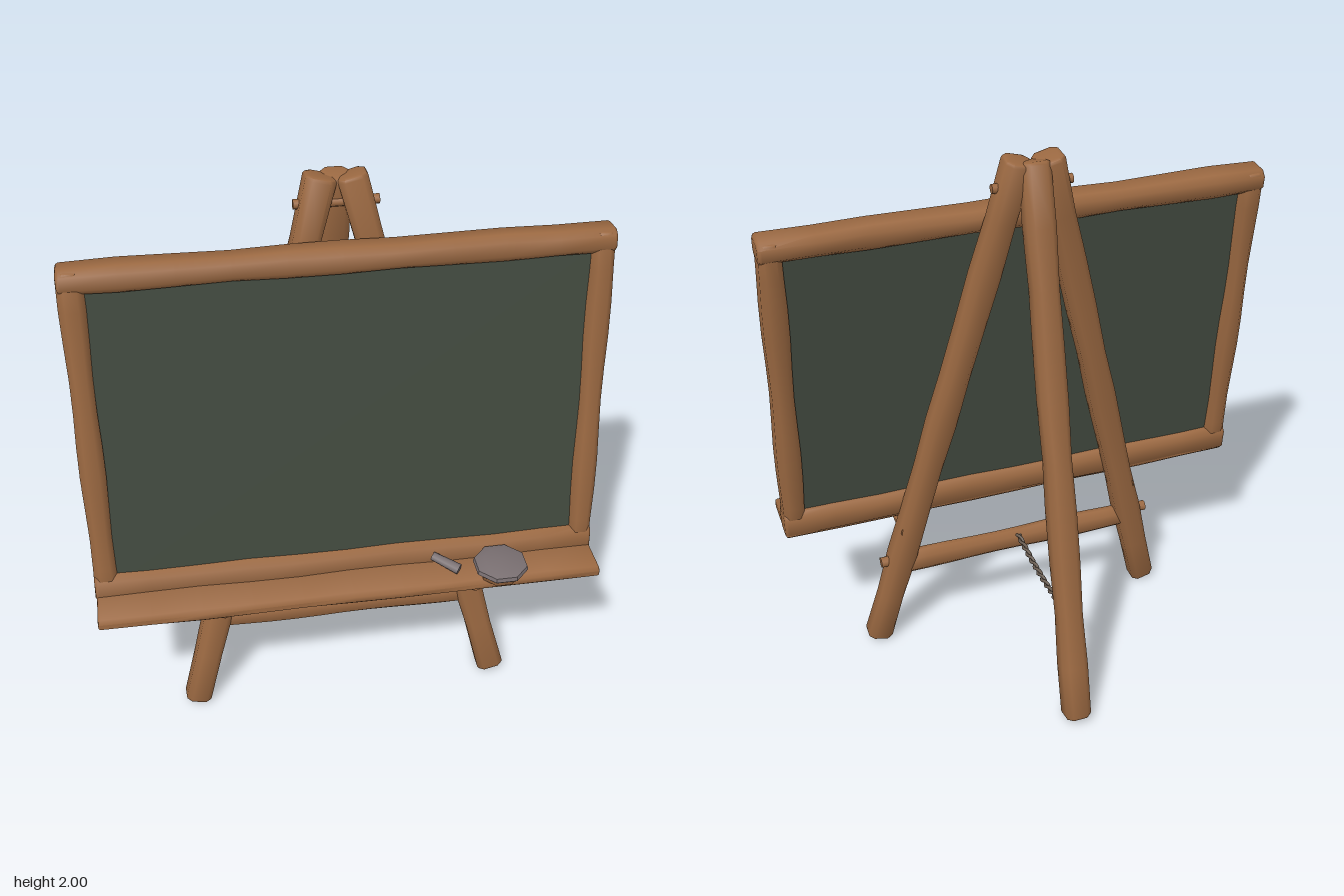
import * as THREE from 'three';
import { toCreasedNormals } from 'three/addons/utils/BufferGeometryUtils.js';

const mat = (name, color) => {
  const m = new THREE.MeshStandardMaterial({ color });
  m.name = name;
  return m;
};
const V = (x, y, z) => new THREE.Vector3(x, y, z);

export function createModel() {
  const wood = mat('wood', 0x9a6841);
  const slate = mat('slate', 0x424a3f);
  const stone = mat('grey stone', 0x786e70);
  const cord = mat('cord', 0x6a5d52);

  const root = new THREE.Group();
  root.name = 'easel';

  const add = (parent, name, geo, material) => {
    const mesh = new THREE.Mesh(geo, material);
    mesh.name = name;
    parent.add(mesh);
    return mesh;
  };

  // Hand-hewn timber between two points: chamfered section, slightly wavy.
  // depth is measured towards ref, width across it.
  const beam = (parent, name, a, b, width, depth, ref = V(0, 0, 1), c = 0.02, wave = 0.003) => {
    const w = width / 2, d = depth / 2, bevel = c * 0.6;
    const shape = new THREE.Shape([
      [w - c, -d], [w, c - d], [w, d - c], [w - c, d],
      [c - w, d], [-w, d - c], [-w, c - d], [c - w, -d],
    ].map(([x, y]) => new THREE.Vector2(x, y)));
    const dir = b.clone().sub(a);
    const len = dir.length();
    let geo = new THREE.ExtrudeGeometry(shape, {
      depth: len - 2 * bevel, steps: 10, bevelEnabled: true, bevelSegments: 2,
      bevelSize: bevel, bevelThickness: bevel, bevelOffset: -bevel,
    });
    geo.translate(0, 0, bevel);
    const p = geo.attributes.position;
    const phase = a.x * 5 + a.y * 3;
    for (let i = 0; i < p.count; i++) {
      const z = p.getZ(i);
      p.setX(i, p.getX(i) * (1 + (wave / w) * Math.sin(z * 11 + phase)));
      p.setY(i, p.getY(i) * (1 + (wave / d) * Math.sin(z * 8 + phase + 1)));
    }
    geo = toCreasedNormals(geo, 0.9);
    const zA = dir.normalize();
    const xA = ref.clone().cross(zA).normalize();
    const yA = zA.clone().cross(xA);
    geo.applyMatrix4(new THREE.Matrix4().makeBasis(xA, yA, zA).setPosition(a));
    return add(parent, name, geo, wood);
  };

  // Round wooden pin between two points
  const pin = (name, a, b, r) => {
    const dir = b.clone().sub(a);
    const mesh = add(root, name, new THREE.CylinderGeometry(r, r, dir.length(), 10), wood);
    mesh.position.copy(a).add(b).multiplyScalar(0.5);
    mesh.quaternion.setFromUnitVectors(V(0, 1, 0), dir.normalize());
  };

  // Legs and their pegs
  for (const s of [1, -1]) {
    beam(root, 'frontLeg', V(s * 0.56, 0.012, 0.25), V(s * 0.048, 1.99, 0.012), 0.096, 0.092);
    pin('ledgePeg', V(s * 0.445, 0.543, 0.15), V(s * 0.445, 0.543, 0.38), 0.023);
    pin('crossbarPin', V(s * 0.42, 0.385, 0.205), V(s * 0.54, 0.385, 0.205), 0.02);
  }
  beam(root, 'backLeg', V(0, 0.02, -0.445), V(0, 1.985, 0.0), 0.094, 0.092);
  pin('topPin', V(-0.137, 1.9, 0.02), V(0.137, 1.9, 0.02), 0.016);
  beam(root, 'crossbar', V(-0.47, 0.367, 0.205), V(0.47, 0.367, 0.205), 0.088, 0.06);

  // Leaning blackboard
  const board = new THREE.Group();
  board.name = 'blackboard';
  board.position.set(0, 0.575, 0.262);
  board.rotation.x = -0.111;
  root.add(board);
  const panel = add(board, 'slatePanel', new THREE.BoxGeometry(1.64, 1.12, 0.045), slate);
  panel.position.set(0, 0.62, 0.003);
  for (const s of [1, -1]) {
    beam(board, 'frameSide', V(s * 0.838, 0.01, 0), V(s * 0.838, 1.23, 0), 0.08, 0.1);
  }
  beam(board, 'frameTop', V(-0.878, 1.196, 0), V(0.878, 1.196, 0), 0.084, 0.104);
  beam(board, 'frameBottom', V(-0.878, 0.056, 0), V(0.878, 0.056, 0), 0.108, 0.104);

  // Tray ledge
  beam(root, 'ledge', V(-0.875, 0.593, 0.325), V(0.875, 0.593, 0.325), 0.046, 0.225, V(0, 0, 1), 0.013, 0.002);

  // Eraser with an eight-sided stone cap
  const eraser = new THREE.Group();
  eraser.name = 'eraser';
  eraser.position.set(0.52, 0.612, 0.4);
  eraser.rotation.y = Math.PI / 8;
  root.add(eraser);
  add(eraser, 'eraserBase', new THREE.CylinderGeometry(0.08, 0.07, 0.032, 8), wood).position.y = 0.016;
  const cap = new THREE.LatheGeometry([
    [0, 0.024], [0.085, 0.026], [0.097, 0.038], [0.093, 0.052], [0.06, 0.062], [0, 0.065],
  ].map(([x, y]) => new THREE.Vector2(x, y)), 8);
  add(eraser, 'eraserCap', toCreasedNormals(cap, 0.6), stone);

  // Chalk stub
  const chalk = add(root, 'chalk', new THREE.CylinderGeometry(0.016, 0.02, 0.105, 7), stone);
  chalk.position.set(0.337, 0.641, 0.35);
  chalk.quaternion.setFromUnitVectors(V(0, 1, 0), V(-0.8, 0.2, -0.6).normalize());

  // Two-strand cord between crossbar and back leg
  for (const phase of [0, Math.PI]) {
    const pts = [];
    for (let i = 0; i <= 80; i++) {
      const t = i / 80, a = t * 40 + phase;
      const sag = 0.395 + 0.017 * t - 0.085 * t * (1 - t);
      pts.push(V(0.006 * Math.cos(a), sag + 0.006 * Math.sin(a), 0.18 - 0.51 * t));
    }
    add(root, 'cord', new THREE.TubeGeometry(new THREE.CatmullRomCurve3(pts), 160, 0.006, 6), cord);
  }
  return root;
}
